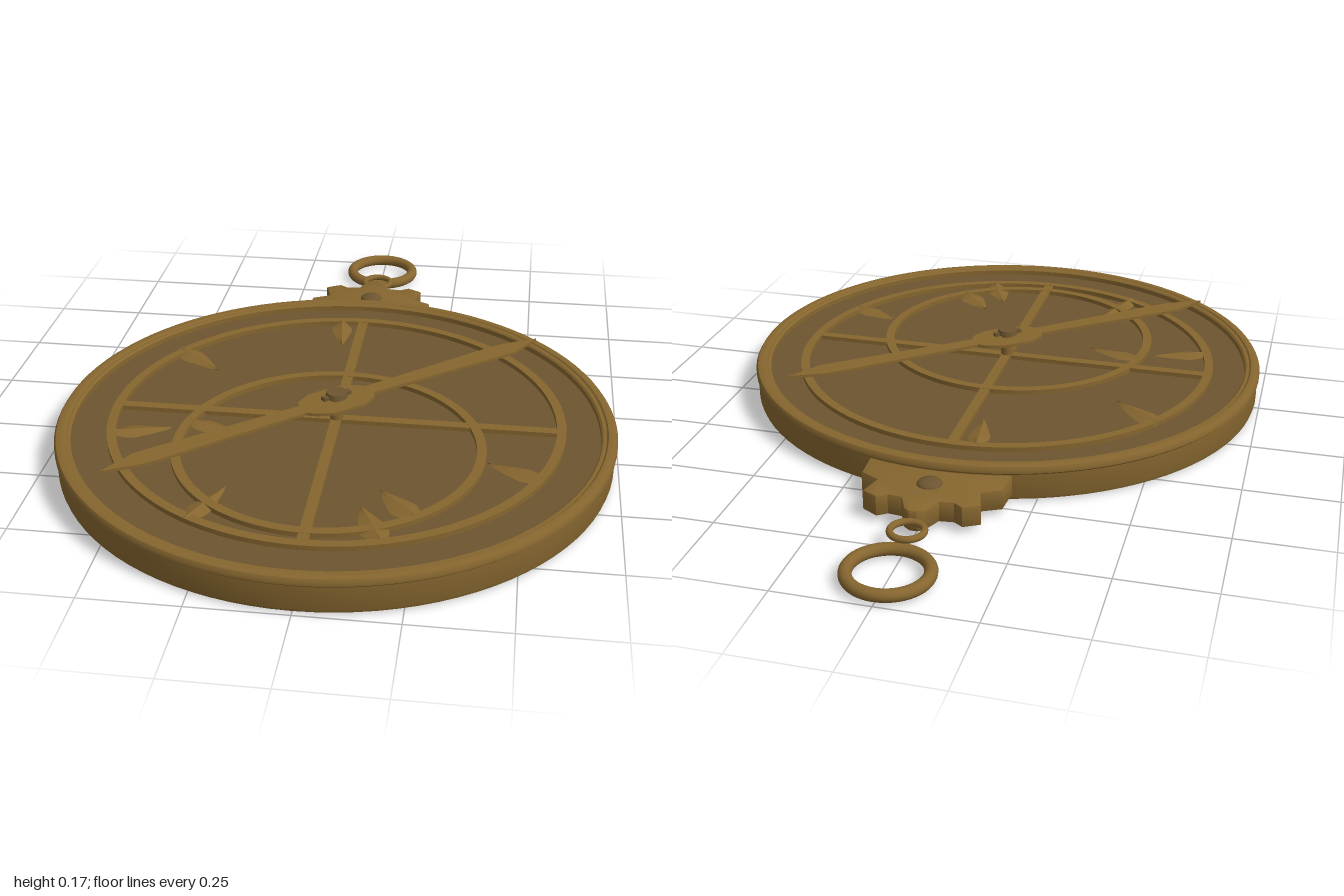
import * as THREE from 'three';
import { toCreasedNormals } from 'three/addons/utils/BufferGeometryUtils.js';
import { ParametricGeometry } from 'three/addons/geometries/ParametricGeometry.js';

const CZ = 0.255;      // centre of the disc along z
const FLOOR = 0.082;   // top of the recessed plate
const brass = new THREE.MeshStandardMaterial({ color: 0x86662f });
const dark = new THREE.MeshStandardMaterial({ color: 0x6c5530 });
const leafMat = new THREE.MeshStandardMaterial({ color: 0x86662f, side: THREE.DoubleSide });

function add(parent, name, geometry, material, x = 0, y = 0, z = 0) {
  const mesh = new THREE.Mesh(geometry, material);
  mesh.name = name;
  mesh.position.set(x, y, z);
  parent.add(mesh);
  return mesh;
}

// Flat plate lying in xz; outline y points to -z, thickness goes up
function flat(shape, depth, bevel = 0) {
  const g = new THREE.ExtrudeGeometry(shape, {
    depth: depth - 2 * bevel, curveSegments: 48, bevelEnabled: bevel > 0,
    bevelSize: bevel, bevelOffset: -bevel, bevelThickness: bevel, bevelSegments: 2,
  });
  g.translate(0, 0, bevel);
  g.rotateX(-Math.PI / 2);
  return toCreasedNormals(g, 0.6);
}

function band(outer, inner, depth) {
  const s = new THREE.Shape().absarc(0, 0, outer, 0, Math.PI * 2);
  s.holes.push(new THREE.Path().absarc(0, 0, inner, 0, Math.PI * 2, true));
  return flat(s, depth);
}

// Pointed leaf with a raised ridge, running from the origin along +x
function leaf(length, width) {
  return toCreasedNormals(new ParametricGeometry((u, v, p) => {
    const w = width * (u < 0.35 ? 0.4 + 0.6 * Math.sin(u / 0.35 * Math.PI / 2) : Math.pow((1 - u) / 0.65, 0.8));
    const side = 2 * v - 1;
    p.set(u * length, 0.012 * (1 - Math.abs(side)) * (1 - u * 0.6) + 0.005, side * w / 2);
  }, 14, 2), 0.4);
}

export function createModel() {
  const root = new THREE.Group();
  root.name = 'astrolabe';

  // Body: shallow dish with a rounded, stepped rim
  const profile = [
    [0, 0.004], [0.725, 0.004], [0.735, 0.009], [0.738, 0.018], [0.738, 0.08], [0.743, 0.085],
    [0.743, 0.094], [0.738, 0.102], [0.728, 0.105], [0.718, 0.104], [0.714, 0.1], [0.705, 0.1],
    [0.7, 0.096], [0.7, FLOOR],
  ].map(([r, y]) => new THREE.Vector2(r, y));
  add(root, 'body', toCreasedNormals(new THREE.LatheGeometry(profile, 96), 0.6), brass, 0, 0, CZ);
  add(root, 'plate', new THREE.CylinderGeometry(0.701, 0.701, 0.02, 96), dark, 0, FLOOR - 0.01, CZ);

  // Openwork star map: two rings, two bars, leaf pointers
  const rete = new THREE.Group();
  rete.name = 'starMap';
  rete.position.y = FLOOR;
  root.add(rete);
  add(rete, 'outerRing', band(0.61, 0.585, 0.013), brass, 0, 0, CZ - 0.008);
  add(rete, 'eclipticRing', band(0.407, 0.382, 0.013), brass, 0, 0, 0.398);
  add(rete, 'crossBar', new THREE.BoxGeometry(1.18, 0.012, 0.028), brass, 0, 0.006, CZ - 0.005);
  add(rete, 'uprightBar', new THREE.BoxGeometry(0.028, 0.012, 1.18), brass, 0, 0.006, CZ - 0.008);
  // base x, base z, tip x, tip z, width
  const pointers = [
    [-0.065, -0.34, -0.045, -0.19, 0.06], [-0.51, -0.1, -0.375, 0.015, 0.07],
    [-0.57, 0.4, -0.425, 0.355, 0.065], [-0.385, 0.32, -0.235, 0.36, 0.06],
    [-0.29, 0.78, -0.225, 0.625, 0.06], [0.18, 0.81, 0.115, 0.665, 0.075],
    [0.25, 0.7, 0.155, 0.59, 0.075], [0.555, 0.495, 0.41, 0.43, 0.065],
  ];
  for (const [x, z, tx, tz, w] of pointers) {
    const m = add(rete, 'starPointer', leaf(Math.hypot(tx - x, tz - z), w), leafMat, x, 0, z);
    m.rotation.y = -Math.atan2(tz - z, tx - x);
  }

  // Pointer arm, point-symmetric about its hub, with pin and wedge
  const arm = new THREE.Group();
  arm.name = 'pointerArm';
  arm.position.set(0, 0, CZ - 0.003);
  arm.rotation.y = 0.695;
  root.add(arm);
  const half = [
    [0.05, -0.062], [0.095, -0.04], [0.105, -0.021], [0.53, -0.034], [0.575, -0.034], [0.678, 0],
    [0.575, 0.025], [0.53, 0.027], [0.105, 0.021], [0.085, 0.04], [0.04, 0.062],
  ];
  const armOutline = [...half, ...half.map(([x, y]) => [-x, -y])];
  add(arm, 'armBlade', flat(new THREE.Shape(armOutline.map(p => new THREE.Vector2(...p))), 0.008), brass, 0, 0.141, 0);
  add(arm, 'pin', new THREE.CylinderGeometry(0.018, 0.018, 0.085, 24), brass, 0, 0.1175, 0);
  add(arm, 'pinHead', new THREE.CylinderGeometry(0.027, 0.03, 0.014, 24), dark, 0, 0.165, 0);
  add(arm, 'wedge', new THREE.BoxGeometry(0.085, 0.01, 0.016), dark, 0, 0.161, 0);

  // Crown bracket, mirrored outline
  const side = [
    [0.19, 0.45], [0.185, 0.535], [0.135, 0.56], [0.152, 0.622], [0.11, 0.645],
    [0.085, 0.628], [0.048, 0.632], [0.027, 0.68], [0.01, 0.692],
  ];
  const crown = [...side, ...side.slice().reverse().map(([x, y]) => [-x, y])];
  add(root, 'crown', flat(new THREE.Shape(crown.map(p => new THREE.Vector2(...p))), 0.058, 0.006), brass, 0, 0.02, 0);
  const dome = new THREE.SphereGeometry(0.033, 24, 10, 0, Math.PI * 2, 0, Math.PI / 2).scale(1, 0.45, 1);
  add(root, 'crownStud', dome, dark, 0, 0.077, -0.55);

  // Hanging rings
  const ring = (name, r, t, y, z) =>
    add(root, name, new THREE.TorusGeometry(r, t, 16, 48).rotateX(Math.PI / 2), brass, 0, y, z);
  ring('shackle', 0.042, 0.009, 0.05, -0.738);
  ring('hangingRing', 0.1, 0.0165, 0.025, -0.884);
  return root;
}
